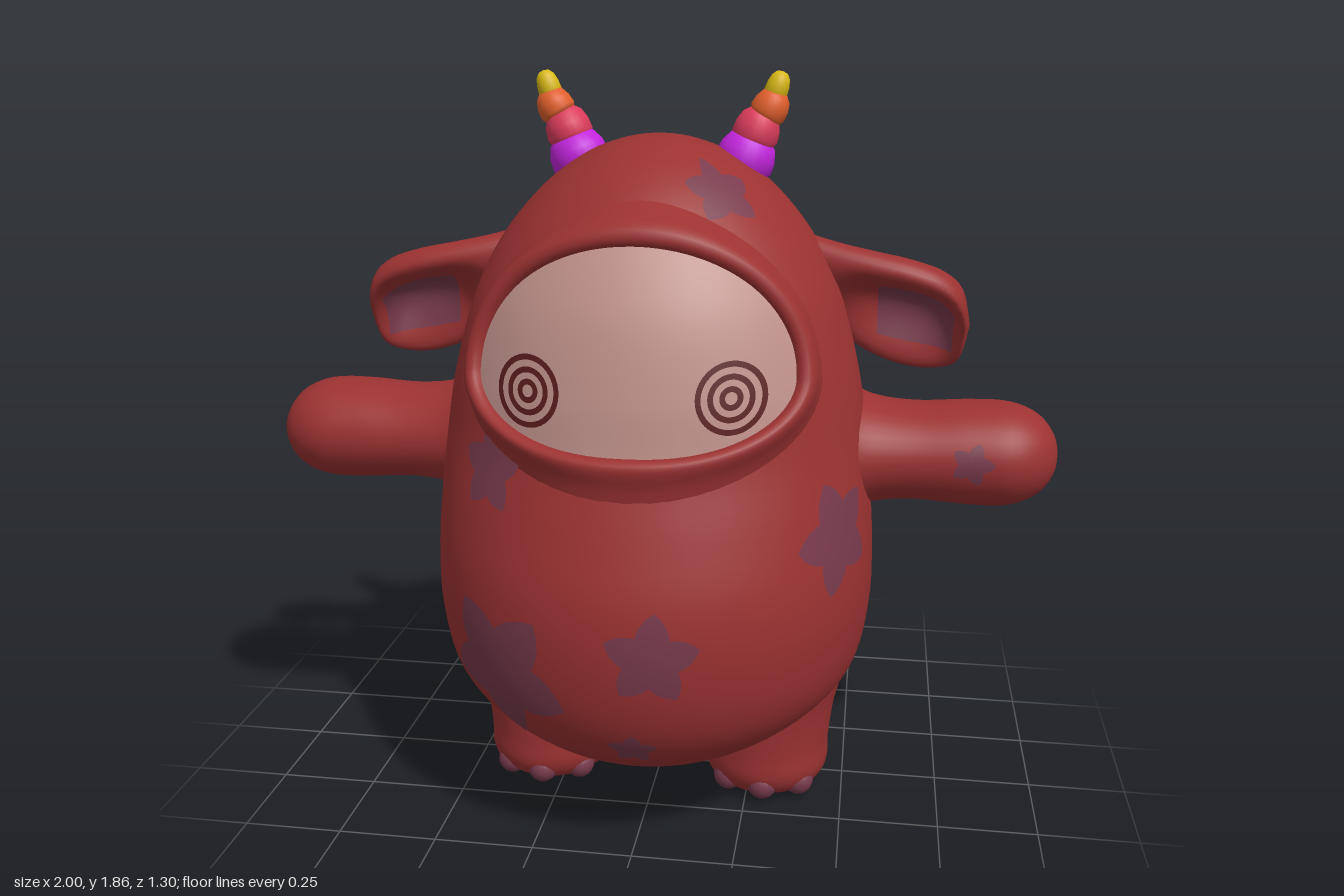
import * as THREE from 'three';
import { mergeVertices } from 'three/addons/utils/BufferGeometryUtils.js';

const mat = (name, color) => Object.assign(new THREE.MeshStandardMaterial({ color }), { name });

// Catmull-Rom through rows of numbers, t from 0 to 1
const spline = (rows) => (t) => {
  const n = rows.length - 1;
  const i = Math.min(Math.floor(t * n), n - 1), f = t * n - i;
  const r = (k) => rows[Math.max(0, Math.min(n, k))];
  return rows[0].map((_, c) => {
    const a = r(i - 1)[c], b = r(i)[c], d = r(i + 1)[c], e = r(i + 2)[c];
    return b + 0.5 * f * (d - a + f * (2 * a - 5 * b + 4 * d - e + f * (3 * (b - d) + e - a)));
  });
};

// Surface from fn(u, v) -> Vector3, front side along dU x dV
function grid(fn, nu, nv, flip = false) {
  const pos = [], index = [];
  for (let j = 0; j <= nv; j++)
    for (let i = 0; i <= nu; i++) pos.push(...fn(i / nu, j / nv).toArray());
  for (let j = 0; j < nv; j++)
    for (let i = 0; i < nu; i++) {
      const a = j * (nu + 1) + i, b = a + 1, c = a + nu + 1, d = c + 1;
      if (flip) index.push(a, c, b, b, c, d);
      else index.push(a, b, c, b, d, c);
    }
  let g = new THREE.BufferGeometry();
  g.setAttribute('position', new THREE.Float32BufferAttribute(pos, 3));
  g.setIndex(index);
  g = mergeVertices(g, 1e-5);
  g.computeVertexNormals();
  return g;
}

// Body rows: y, half width, front z, back z
const bodyAt = spline([
  [0.155, 0, 0.08, 0.08], [0.165, 0.15, 0.24, -0.07], [0.2, 0.29, 0.41, -0.22], [0.29, 0.43, 0.54, -0.36],
  [0.4, 0.52, 0.61, -0.43], [0.55, 0.553, 0.643, -0.455], [0.7, 0.555, 0.64, -0.44], [0.85, 0.545, 0.6, -0.41],
  [1, 0.53, 0.553, -0.39], [1.15, 0.505, 0.533, -0.378], [1.3, 0.465, 0.5, -0.368], [1.4, 0.425, 0.46, -0.352],
  [1.5, 0.365, 0.4, -0.315], [1.6, 0.275, 0.31, -0.24], [1.67, 0.175, 0.21, -0.13], [1.705, 0.08, 0.115, -0.04],
  [1.715, 0, 0.035, 0.035],
]);
const bodyTable = Array.from({ length: 601 }, (_, i) => bodyAt(i / 600));
function bodyRow(y) {
  let i = bodyTable.findIndex((r) => r[0] >= y);
  i = i < 0 ? 600 : Math.max(1, i);
  const a = bodyTable[i - 1], b = bodyTable[i], f = (y - a[0]) / (b[0] - a[0] || 1);
  return a.map((v, k) => v + (b[k] - v) * f);
}
const ringPoint = ([y, w, zf, zb], th) =>
  new THREE.Vector3(w * Math.sin(th), y, (zf + zb) / 2 + ((zf - zb) / 2) * Math.cos(th));

// Point on the body at angle th and height y, lifted along the normal
function onBody(th, y, lift) {
  const at = (t, h) => ringPoint(bodyRow(h), t);
  const p = at(th, y);
  const du = at(th + 0.01, y).sub(at(th - 0.01, y)), dv = at(th, y + 0.008).sub(at(th, y - 0.008));
  return p.addScaledVector(du.cross(dv).normalize(), lift);
}
const frontAngle = (x, y) => Math.asin(Math.max(-1, Math.min(1, x / bodyRow(y)[1])));

export function createModel() {
  const model = new THREE.Group();
  model.name = 'hornedPlushMonster';
  const red = mat('redFur', 0x9c3232), spot = mat('mauveSpot', 0x783a4c), skin = mat('faceSkin', 0xc0918a);
  const dark = mat('darkSwirl', 0x5a1c1c), purple = mat('hornPurple', 0xc224dc), pink = mat('hornPink', 0xdc3c5c);
  const orange = mat('hornOrange', 0xe2602c), yellow = mat('hornYellow', 0xd8b814);
  const add = (name, geo, material, parent = model) => {
    const m = new THREE.Mesh(geo, material);
    m.name = name;
    parent.add(m);
    return m;
  };
  const TAU = Math.PI * 2;

  add('body', grid((u, v) => ringPoint(bodyAt(v), u * TAU), 72, 80), red);

  // Face opening: flat-bottomed oval given as [angle, height]
  const midY = 1.19;
  const edge = (phi) => {
    const c = Math.cos(phi), s = Math.sin(phi);
    const x = 0.365 * Math.sign(c) * Math.abs(c) ** (s < 0 ? 0.85 : 1);
    const y = midY + s * (s > 0 ? 0.3 : 0.16);
    return [frontAngle(x, y), y];
  };
  add('face', grid((u, v) => {
    const [th, y] = edge(v * TAU);
    return onBody(th * u, midY + (y - midY) * u, 0.012);
  }, 14, 72), skin);

  // Raised hood rim: distance outward, height
  const rimAt = spline([[-0.006, 0.004], [-0.004, 0.026], [0.012, 0.039], [0.035, 0.034], [0.065, 0.015], [0.1, -0.004]]);
  add('hoodRim', grid((u, v) => {
    const [th, y] = edge(v * TAU), [w, h] = rimAt(u);
    const dx = th * 0.47, dy = y - midY, len = Math.hypot(dx, dy);
    return onBody(th + (w * dx) / len / 0.47, y + (w * dy) / len, h);
  }, 14, 96), red);

  // Ringed eyes
  for (const s of [1, -1])
    for (const [r0, r1] of [[0.064, 0.076], [0.038, 0.05], [0.013, 0.025]])
      add('eyeRing', grid((u, v) => {
        const r = r0 + (r1 - r0) * u, y = 1.167 + r * 1.06 * Math.sin(v * TAU);
        return onBody(frontAngle(s * 0.225 + r * Math.cos(v * TAU), y), y, 0.016);
      }, 1, 40), dark);

  // Star spots: angle, height, radius, vertical radius, turn
  const starRadius = (phi) => 0.58 + 0.42 * Math.abs(1 - 2 * (((phi * 5) / TAU) % 1));
  for (const [th0, y0, r, ry, turn] of [
    [-0.68, 0.97, 0.105, 0.105, 0.3], [-0.6, 0.5, 0.2, 0.19, 0.9], [0.13, 0.59, 0.115, 0.115, 0.25],
    [0.04, 0.335, 0.06, 0.05, 0.3], [1.04, 0.81, 0.145, 0.14, 0.7], [0.68, 1.595, 0.09, 0.07, 0.3],
  ]) {
    const w = bodyRow(y0)[1];
    add('starSpot', grid((u, v) => {
      const phi = v * TAU, k = u * starRadius(phi);
      return onBody(th0 + (k * r * Math.cos(phi + turn)) / w, y0 + k * ry * Math.sin(phi + turn), 0.004);
    }, 8, 40), spot);
  }

  // Limb rows: arm = x, radius y, radius z; leg = y, centre x, radius
  const armAt = spline([[0.38, 0.2, 0.22], [0.46, 0.175, 0.2], [0.54, 0.135, 0.17], [0.65, 0.122, 0.155], [0.78, 0.13, 0.155],
    [0.88, 0.128, 0.15], [0.95, 0.1, 0.115], [0.99, 0.05, 0.06], [1, 0, 0]]);
  const legAt = spline([[0, 0.295, 0], [0.004, 0.295, 0.085], [0.025, 0.295, 0.135], [0.07, 0.295, 0.163], [0.14, 0.295, 0.165],
    [0.24, 0.3, 0.172], [0.34, 0.3, 0.195], [0.46, 0.29, 0.22]]);
  const armPoint = (s, x, ry, rz, t) =>
    new THREE.Vector3(s * x, 0.94 + ry * Math.cos(t), 0.04 + rz * Math.sin(t));

  // Ear rows: x, centre y, half length, half thickness, hollow depth
  const earAt = spline([[0.34, 1.4, 0.09, 0.06, 0], [0.44, 1.34, 0.13, 0.075, 0.3], [0.53, 1.3, 0.155, 0.085, 1.3],
    [0.62, 1.275, 0.162, 0.09, 1.6], [0.7, 1.26, 0.145, 0.088, 1.4], [0.75, 1.25, 0.1, 0.07, 0.5], [0.772, 1.25, 0, 0, 0]]);
  const earPoint = (s, t, v, lift = 0) => {
    const [x, cy, a, b, dent] = earAt(v), st = Math.sin(t);
    const n = (st > 0 ? b * st * (1 - dent * st ** 3) : b * st) + lift;
    const l = a * Math.cos(t);
    return new THREE.Vector3(s * x, cy + 0.84 * l - 0.54 * n, -0.01 + 0.54 * l + 0.84 * n);
  };

  for (const s of [1, -1]) {
    const flip = s < 0;
    add('arm', grid((u, v) => {
      const [x, ry, rz] = armAt(v);
      return armPoint(s, x, ry, rz, u * TAU);
    }, 36, 40, flip), red);

    add('leg', grid((u, v) => {
      const [y, cx, r] = legAt(v);
      return new THREE.Vector3(s * cx + r * Math.sin(u * TAU), y, 0.055 + r * Math.cos(u * TAU));
    }, 36, 32), red);
    for (const a of [-0.8, 0, 0.8]) {
      const toe = add('toe', new THREE.SphereGeometry(0.04, 16, 12), spot);
      toe.position.set(s * 0.295 + 0.128 * Math.sin(a), 0.048, 0.055 + 0.128 * Math.cos(a));
    }

    add('ear', grid((u, v) => earPoint(s, u * TAU, v), 48, 36, flip), red);
    add('innerEar', grid((u, v) => earPoint(s, Math.PI * (0.38 + 0.3 * u), 0.36 + 0.4 * v, 0.004), 12, 14, flip), spot);

    // Stacked horn: material, start, length, radius, lean
    const horn = new THREE.Group();
    horn.name = 'horn';
    horn.position.set(s * 0.195, 1.625, 0);
    horn.rotation.z = -s * 0.43;
    model.add(horn);
    for (const [m, y, h, r, lean] of [[purple, 0, 0.1, 0.074, 0], [pink, 0.07, 0.09, 0.058, 0.12],
      [orange, 0.138, 0.075, 0.046, -0.1], [yellow, 0.192, 0.064, 0.029, 0.1]]) {
      const profile = [[0, 0], [0.85, 0.02], [1, 0.2], [0.95, 0.5], [0.78, 0.78], [0.45, 0.96], [0, 1]];
      const part = add('hornSegment', new THREE.LatheGeometry(profile.map(([a, b]) => new THREE.Vector2(a * r, b * h)), 24), m, horn);
      part.position.y = y;
      part.rotation.z = s * lean;
    }
  }

  // Small spot on the front of the left arm
  add('armSpot', grid((u, v) => {
    const phi = v * TAU, k = 0.055 * u * starRadius(phi);
    return armPoint(1, 0.785 + k * Math.cos(phi), 0.134, 0.159, 1.5 - (k * Math.sin(phi)) / 0.135);
  }, 4, 40), spot);

  const tail = add('tail', new THREE.SphereGeometry(0.12, 32, 20), red);
  tail.position.set(0, 0.47, -0.525);
  return model;
}
